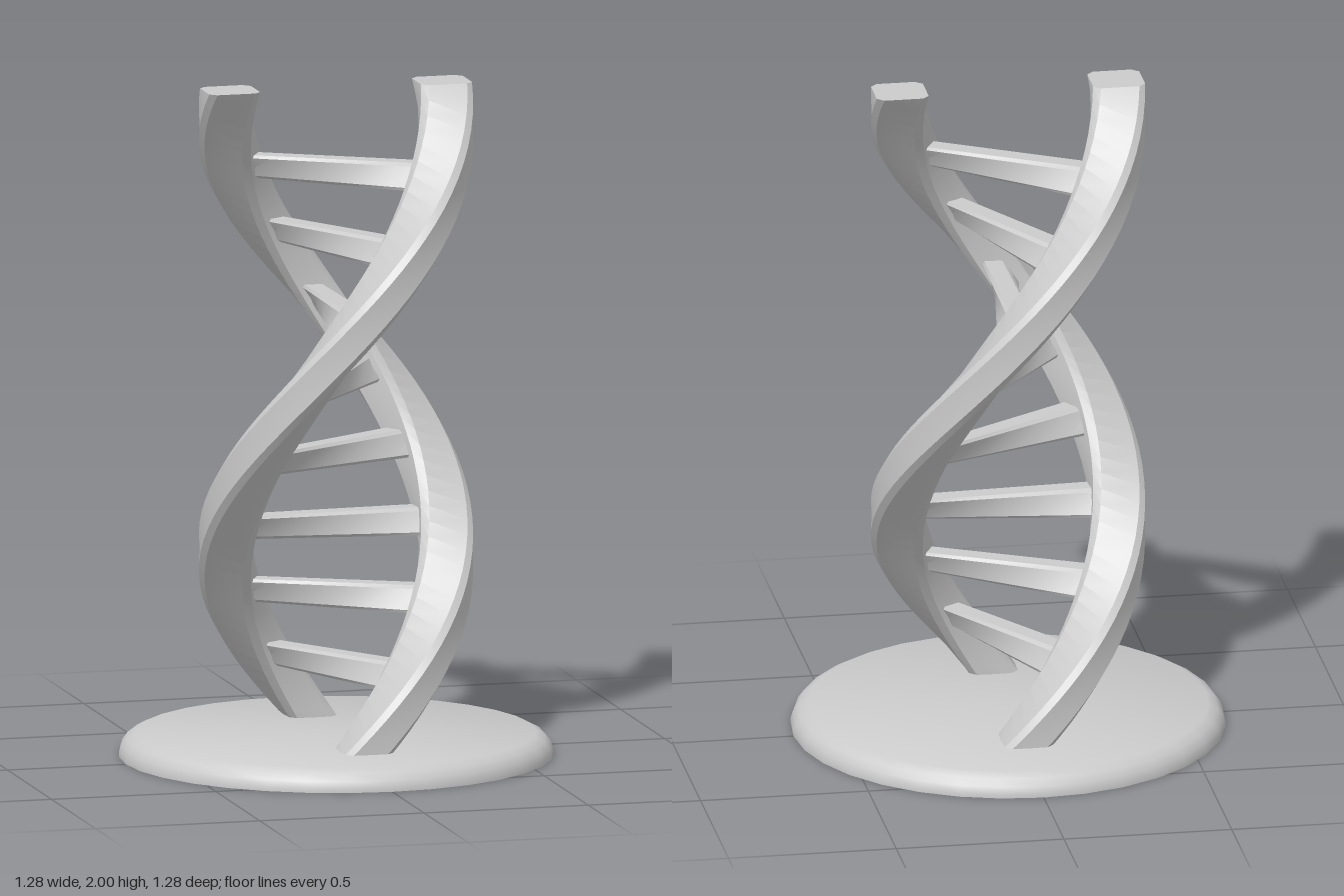
import * as THREE from 'three';
import { toCreasedNormals } from 'three/addons/utils/BufferGeometryUtils.js';

const BASE_TOP = 0.068;
const TOP = 2;
const TWIST = Math.PI * 1.5; // three quarters of a turn from base to top

// Rectangle with chamfered corners, centred on the origin
function chamferedRect(w, h, c) {
  const x = w / 2, y = h / 2;
  return new THREE.Shape([
    [x - c, -y], [x, -y + c], [x, y - c], [x - c, y],
    [-x + c, y], [-x, y - c], [-x, -y + c], [-x + c, -y],
  ].map(([a, b]) => new THREE.Vector2(a, b)));
}

// Turn every vertex around the y axis in proportion to its height
function twist(geometry) {
  const pos = geometry.attributes.position;
  const v = new THREE.Vector3();
  const up = new THREE.Vector3(0, 1, 0);
  for (let i = 0; i < pos.count; i++) {
    v.fromBufferAttribute(pos, i);
    v.applyAxisAngle(up, ((v.y - BASE_TOP) / (TOP - BASE_TOP)) * TWIST);
    pos.setXYZ(i, v.x, v.y, v.z);
  }
  return toCreasedNormals(geometry, 0.5);
}

export function createModel() {
  const group = new THREE.Group();
  const material = new THREE.MeshStandardMaterial({ color: 0xcccccc });
  const add = (name, geometry) => {
    const mesh = new THREE.Mesh(geometry, material);
    mesh.name = name;
    group.add(mesh);
  };

  // Round base with a softened upper rim
  const profile = [
    [0, 0], [0.64, 0], [0.64, 0.012], [0.633, 0.033],
    [0.618, 0.053], [0.59, BASE_TOP], [0, BASE_TOP],
  ].map(([x, y]) => new THREE.Vector2(x, y));
  add('base', toCreasedNormals(new THREE.LatheGeometry(profile, 32), 0.7));

  // Two upright rails, twisted into helices
  const railStart = BASE_TOP - 0.02;
  for (const [name, side] of [['frontStrand', 1], ['backStrand', -1]]) {
    const rail = new THREE.ExtrudeGeometry(chamferedRect(0.145, 0.155, 0.02), {
      depth: TOP - railStart, steps: 48, bevelEnabled: false,
    });
    rail.rotateX(-Math.PI / 2);
    rail.translate(0, railStart, side * 0.3225);
    add(name, twist(rail));
  }

  // Eight rungs, twisted together with the rails
  const length = 0.58;
  for (let i = 1; i <= 8; i++) {
    const rung = new THREE.ExtrudeGeometry(chamferedRect(0.072, 0.076, 0.009), {
      depth: length, steps: 6, bevelEnabled: false,
    });
    rung.translate(0, 0.06 + 0.2107 * i, -length / 2);
    add('rung' + i, twist(rung));
  }

  return group;
}
